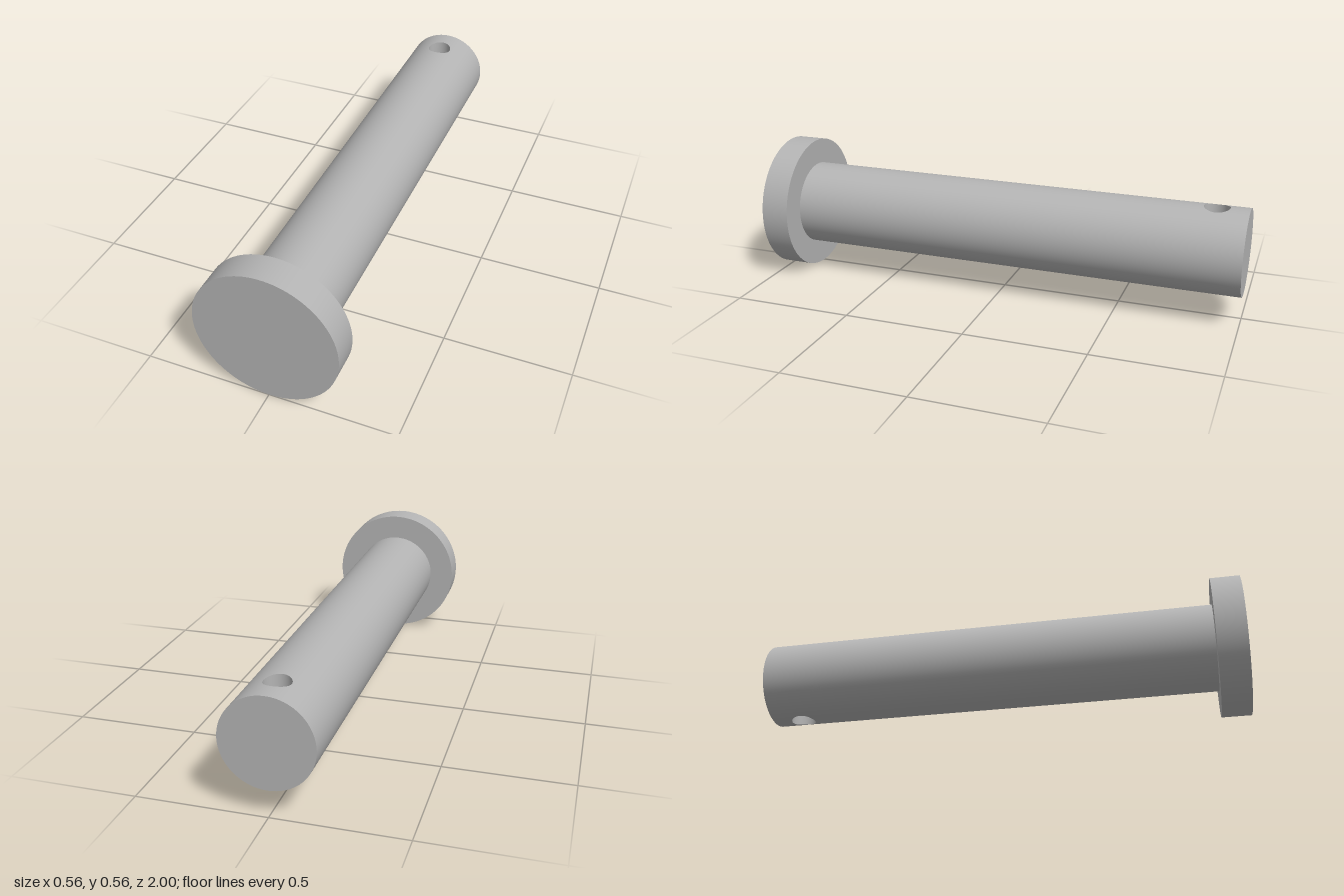
import * as THREE from 'three';

const CY = 0.282;                 // axis height, equal to the head radius
const HEAD_R = 0.282, HEAD_BACK = 0.882;
const R = 0.176;                  // shaft radius
const HOLE_R = 0.051, HOLE_Z = -0.872;
const DRILL_FRONT = -0.744;       // where the drilled section begins
const SEG = 64;                   // sides of the shaft

// Smooth grid surface; fn(u, v) returns [position, normal]
function gridSurface(nu, nv, fn) {
  const pos = [], nor = [], idx = [];
  for (let j = 0; j <= nv; j++) {
    for (let i = 0; i <= nu; i++) {
      const [p, n] = fn(i / nu, j / nv);
      pos.push(...p);
      nor.push(...n);
      if (i < nu && j < nv) {
        const a = j * (nu + 1) + i, b = a + 1, c = a + nu + 1, d = c + 1;
        idx.push(a, b, c, b, d, c);
      }
    }
  }
  const g = new THREE.BufferGeometry();
  g.setAttribute('position', new THREE.Float32BufferAttribute(pos, 3));
  g.setAttribute('normal', new THREE.Float32BufferAttribute(nor, 3));
  g.setIndex(idx);
  return g;
}

// Position on a square's outline, walked evenly with the angle t
const wrap = (t) => Math.abs(Math.atan2(Math.sin(t), Math.cos(t)));
const squareCoord = (t) => THREE.MathUtils.clamp(2 - 4 * wrap(t) / Math.PI, -1, 1);

// Half of the drilled shaft wall: rings from the hole rim out to the patch edge
function drilledHalf() {
  return gridSurface(SEG * 2, 16, (u, v) => {
    const t = u * Math.PI * 2;
    const rimA = Math.asin(HOLE_R * Math.cos(t) / R);
    const rimZ = HOLE_Z + HOLE_R * Math.sin(t);
    const edgeA = squareCoord(t) * Math.PI / 2;
    const edgeZ = HOLE_Z + squareCoord(t - Math.PI / 2) * (DRILL_FRONT - HOLE_Z);
    const a = THREE.MathUtils.lerp(rimA, edgeA, v);
    const z = THREE.MathUtils.lerp(rimZ, edgeZ, v);
    const sx = Math.sin(a), sy = Math.cos(a);
    return [[R * sx, R * sy, z], [sx, sy, 0]];
  });
}

// Inside wall of the cross hole, ending on the curved shaft surface
function holeBore() {
  return gridSurface(SEG * 2, 1, (u, v) => {
    const t = u * Math.PI * 2;
    const c = Math.cos(t), s = Math.sin(t), x = HOLE_R * c;
    const y = Math.sqrt(R * R - x * x) * (2 * v - 1);
    return [[x, y, HOLE_Z + HOLE_R * s], [-c, 0, -s]];
  });
}

export function createModel() {
  const steel = new THREE.MeshStandardMaterial({ color: 0xb4b4b4 });
  steel.name = 'steel grey';
  const pin = new THREE.Group();
  pin.name = 'clevisPin';
  const add = (name, geometry, z = 0) => {
    const mesh = new THREE.Mesh(geometry, steel);
    mesh.name = name;
    mesh.position.set(0, CY, z);
    pin.add(mesh);
    return mesh;
  };

  // Flat round head
  const headLen = 1 - HEAD_BACK;
  add('head', new THREE.CylinderGeometry(HEAD_R, HEAD_R, headLen, 96).rotateX(Math.PI / 2), 1 - headLen / 2);

  // Plain shaft
  const len = HEAD_BACK - DRILL_FRONT;
  add('shaft', new THREE.CylinderGeometry(R, R, len, SEG, 1, true).rotateX(Math.PI / 2), DRILL_FRONT + len / 2);

  // Drilled end: upper and lower walls, bore and end face
  add('drilledEndUpper', drilledHalf());
  add('drilledEndLower', drilledHalf()).rotation.z = Math.PI;
  add('crossHole', holeBore());
  add('endFace', new THREE.CircleGeometry(R, SEG).rotateY(Math.PI), -1);

  return pin;
}
